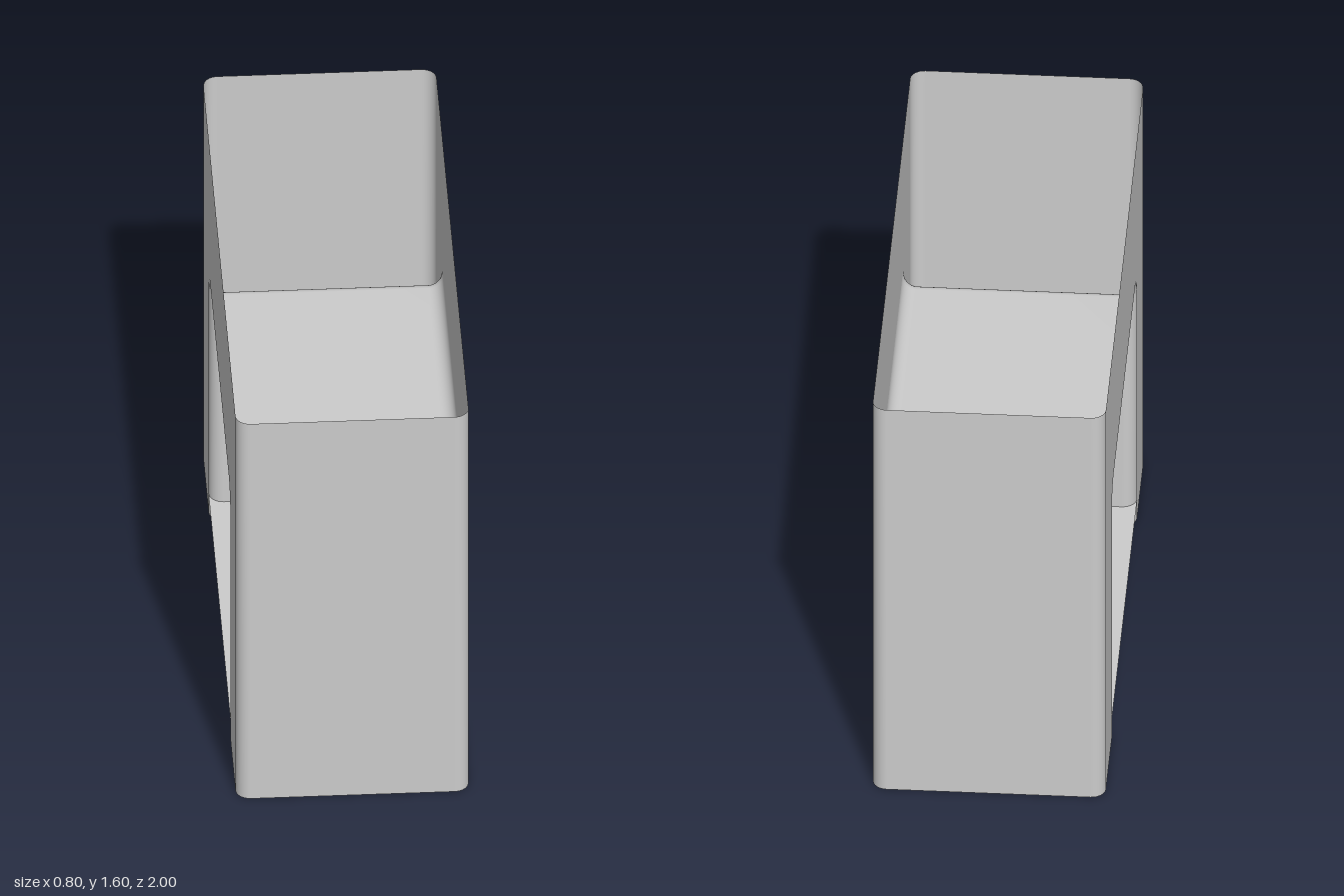
import * as THREE from 'three';

const W = 0.4, D = 1, H = 1.6;        // half width, half depth, height
const LEG = 0.6, ARCH = 1;            // half opening, opening height
const R = 0.05, N = 8;                // edge rounding and its segments

// Smooth skin through equally long rows of points.
function loft(rows) {
  const n = rows[0].length, index = [];
  for (let i = 0; i < rows.length - 1; i++) {
    for (let j = 0; j < n - 1; j++) {
      const a = i * n + j, b = a + 1, c = a + n, d = c + 1;
      index.push(a, b, c, b, d, c);
    }
  }
  const g = new THREE.BufferGeometry();
  g.setAttribute('position', new THREE.Float32BufferAttribute(rows.flat(2), 3));
  g.setIndex(index);
  g.computeVertexNormals();
  return g;
}

// Outline of the arch opening as [z, y], grown outwards by `off`.
function archPath(off) {
  const p = [[LEG + off, 0]], r = R + off;
  for (const side of [1, -1]) {
    for (let i = 0; i <= N; i++) {
      const t = (side > 0 ? i : N - i) / N * Math.PI / 2;
      p.push([side * (LEG - R + r * Math.cos(t)), ARCH - R + r * Math.sin(t)]);
    }
  }
  p.push([-LEG - off, 0]);
  return p;
}

export function createModel() {
  const group = new THREE.Group();
  const mat = new THREE.MeshStandardMaterial({ color: 0xcccccc, side: THREE.DoubleSide });
  const add = (name, geometry) => {
    const mesh = new THREE.Mesh(geometry, mat);
    mesh.name = name;
    group.add(mesh);
    return mesh;
  };

  // Flat side walls with the arch cut out
  const outline = [[-D + R, 0], [-D + R, H], [D - R, H], [D - R, 0], ...archPath(R)];
  const shape = new THREE.Shape(outline.map(([z, y]) => new THREE.Vector2(z, y)));
  for (const s of [1, -1]) {
    const wall = add(s > 0 ? 'leftSideWall' : 'rightSideWall', new THREE.ShapeGeometry(shape));
    wall.rotation.y = s * Math.PI / 2;
    wall.position.x = s * W;
  }

  // Rounded section across the width: [x, inset from the flat]
  const section = [];
  for (const s of [-1, 1]) {
    for (let i = 0; i <= N; i++) {
      const t = (s > 0 ? i : N - i) / N * Math.PI / 2;
      section.push([s * (W - R + R * Math.sin(t)), R * (1 - Math.cos(t))]);
    }
  }

  // End walls with rounded vertical corners
  const endRows = [0, H].map(y => section.map(([x, d]) => [x, y, D - d]));
  add('frontWall', loft(endRows));
  add('backWall', loft(endRows)).rotation.y = Math.PI;

  // Inner faces of the legs and underside of the bridge, with rounded edges
  add('archSurface', loft(section.map(([x, d]) => archPath(d).map(([z, y]) => [x, y, z]))));

  // Thin plate joining the two legs near the ground
  const plate = add('basePlate', new THREE.PlaneGeometry(2 * W, 1.6));
  plate.rotation.x = -Math.PI / 2;
  plate.position.y = 0.08;

  return group;
}
